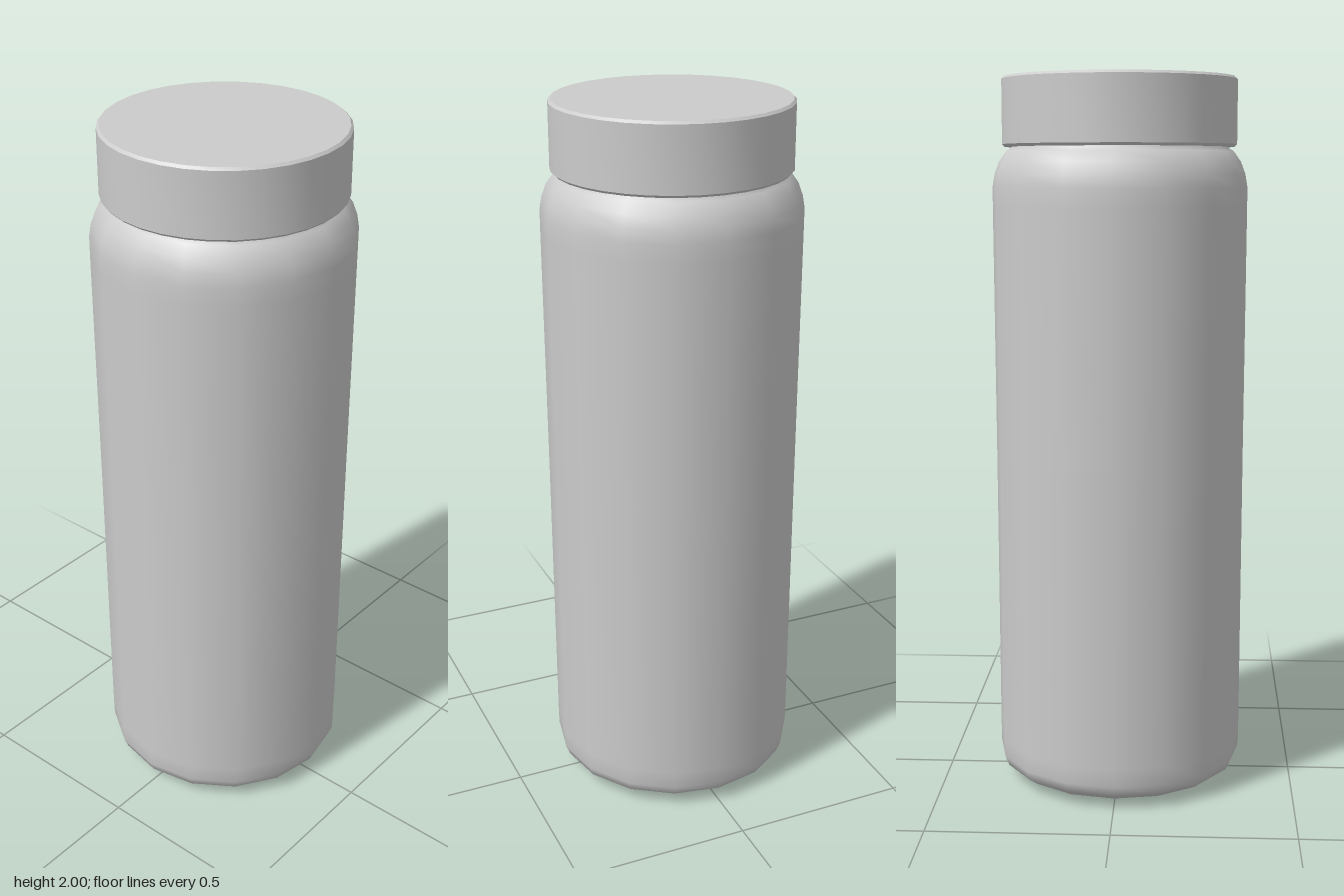
import * as THREE from 'three';
import { toCreasedNormals } from 'three/addons/utils/BufferGeometryUtils.js';

const material = new THREE.MeshStandardMaterial({ color: 0xcccccc });

// Turns a bottom-to-top [radius, height] profile around the y axis
function turned(name, profile, sides) {
  const points = profile.map(([r, y]) => new THREE.Vector2(r, y));
  const mesh = new THREE.Mesh(new THREE.LatheGeometry(points, sides), material);
  mesh.name = name;
  return mesh;
}

export function createModel() {
  const group = new THREE.Group();
  group.name = 'bottle';

  // Body: shallow domed base, slightly tapered wall, rounded shoulder and neck
  const body = turned('body', [
    [0, 0], [0.16, 0.005], [0.27, 0.013], [0.315, 0.024], [0.34, 0.042], [0.351, 0.07],
    [0.352, 0.12], [0.354, 0.95], [0.357, 1.65], [0.357, 1.70], [0.351, 1.735],
    [0.338, 1.77], [0.318, 1.798], [0.305, 1.806], [0.3, 1.83],
  ], 16);
  group.add(body);

  // Lid: finer-sided closed cap with small bevels and crisp edges
  const lid = turned('lid', [
    [0, 1.81], [0.32, 1.81], [0.327, 1.817], [0.327, 1.993], [0.32, 2], [0, 2],
  ], 32);
  lid.geometry = toCreasedNormals(lid.geometry, 0.5);
  group.add(lid);

  return group;
}
